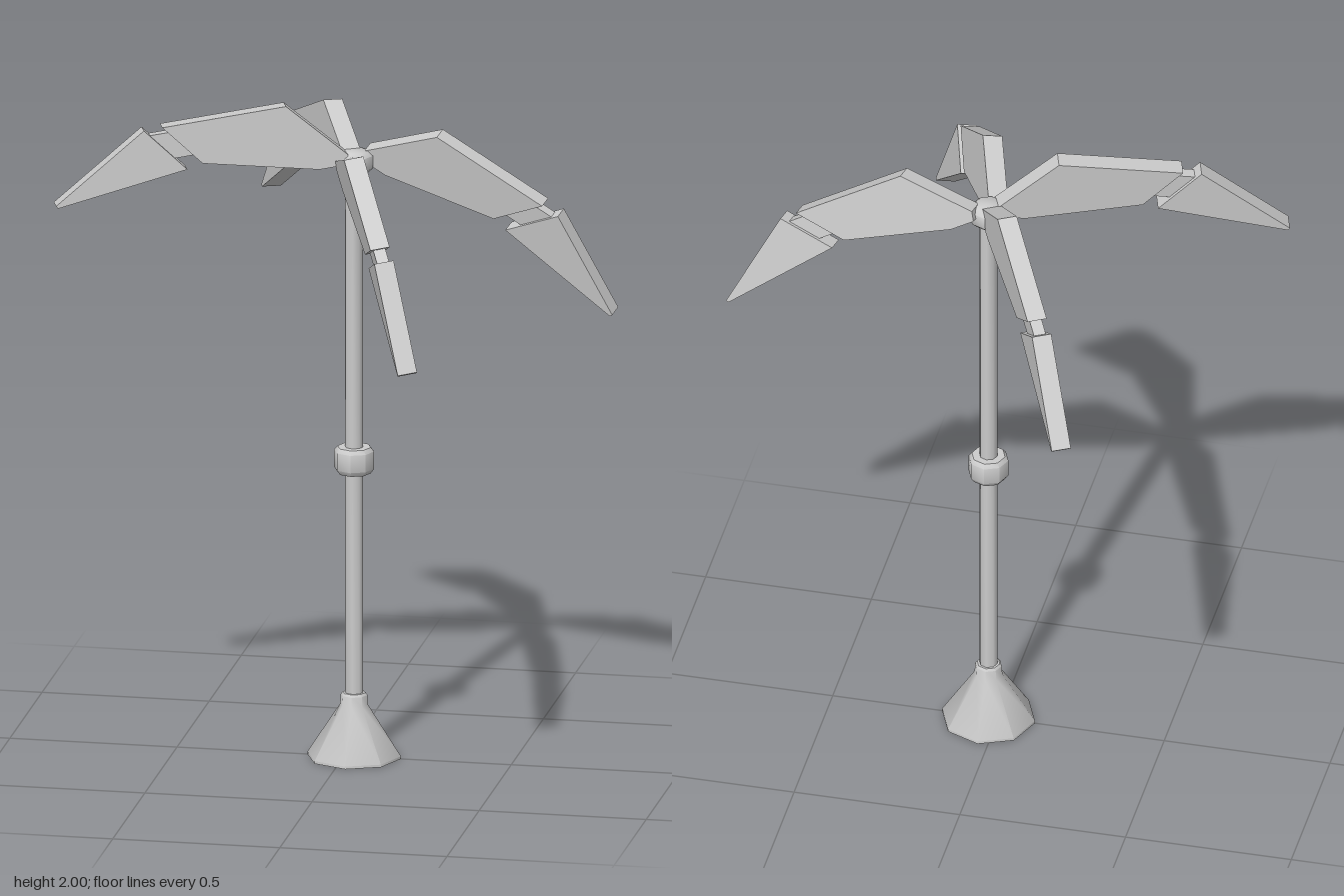
import * as THREE from 'three';
import { toCreasedNormals } from 'three/addons/utils/BufferGeometryUtils.js';

const material = new THREE.MeshStandardMaterial({ color: 0xcccccc });
const flatMaterial = new THREE.MeshStandardMaterial({ color: 0xcccccc, flatShading: true });
const V = (a) => new THREE.Vector3(...a);

// Eight-sided turned part from [radius, height] pairs, bottom to top
function turned(name, profile) {
  const points = profile.map(([r, y]) => new THREE.Vector2(r, y));
  const geometry = toCreasedNormals(new THREE.LatheGeometry(points, 8), 0.9);
  const mesh = new THREE.Mesh(geometry, material);
  mesh.name = name;
  mesh.position.x = 0.03;
  return mesh;
}

// Flat slab with a polygon outline, centred on its thickness
function slab(name, outline, thickness) {
  const shape = new THREE.Shape(outline.map(([u, v]) => new THREE.Vector2(u, v)));
  const geometry = new THREE.ExtrudeGeometry(shape, { depth: thickness, bevelEnabled: false });
  geometry.translate(0, 0, -thickness / 2);
  const mesh = new THREE.Mesh(geometry, flatMaterial);
  mesh.name = name;
  return mesh;
}

// One jointed leaf, placed by its crest, the top of its tip segment and its far point
function leaf(name, crest, joint, end) {
  const group = new THREE.Group();
  group.name = name;
  group.add(
    slab('leafBlade', [[0, 0], [-0.16, -0.175], [-0.15, -0.205], [-0.07, -0.205], [0.268, -0.127], [0.37, 0]], 0.058),
    slab('leafJoint', [[0.34, -0.02], [0.28, -0.1], [0.36, -0.1], [0.42, -0.02]], 0.036),
    slab('leafTip', [[0.425, 0], [0.315, -0.137], [0.71, -0.188], [0.714, -0.18]], 0.058),
  );
  const p = V(crest);
  const u = V(joint).sub(p).normalize();
  const v = V(end).sub(p).negate();
  v.addScaledVector(u, -v.dot(u)).normalize();
  const w = u.clone().cross(v);
  const m = new THREE.Matrix4().makeBasis(u, v, w).setPosition(p);
  m.decompose(group.position, group.quaternion, group.scale);
  return group;
}

export function createModel() {
  const model = new THREE.Group();
  model.name = 'palmTree';

  // Foot, trunk, collar and crown
  model.add(
    turned('foot', [[0, 0], [0.14, 0], [0.14, 0.008], [0.042, 0.16], [0.04, 0.19], [0.034, 0.197], [0, 0.197]]),
    turned('trunk', [[0.027, 0.18], [0.027, 1.82]]),
    turned('collar', [[0, 0.868], [0.05, 0.868], [0.06, 0.882], [0.06, 0.935], [0.05, 0.947], [0, 0.947]]),
    turned('crown', [[0, 1.785], [0.04, 1.785], [0.056, 1.8], [0.056, 1.838], [0.04, 1.852], [0, 1.852]]),
  );

  // Four leaves around the crown
  model.add(
    leaf('leftLeaf', [0.288, 1.92, 0.008], [0.648, 1.703, 0.018], [0.8, 1.4, -0.012]),
    leaf('frontLeaf', [0.08, 1.905, 0.267], [0.235, 1.688, 0.6], [0.325, 1.385, 0.715]),
    leaf('rightLeaf', [-0.165, 2.0, 0.065], [-0.558, 1.942, 0.195], [-0.8, 1.727, 0.285]),
    leaf('backLeaf', [-0.07, 1.95, -0.188], [-0.255, 1.8, -0.537], [-0.355, 1.54, -0.715]),
  );
  return model;
}
